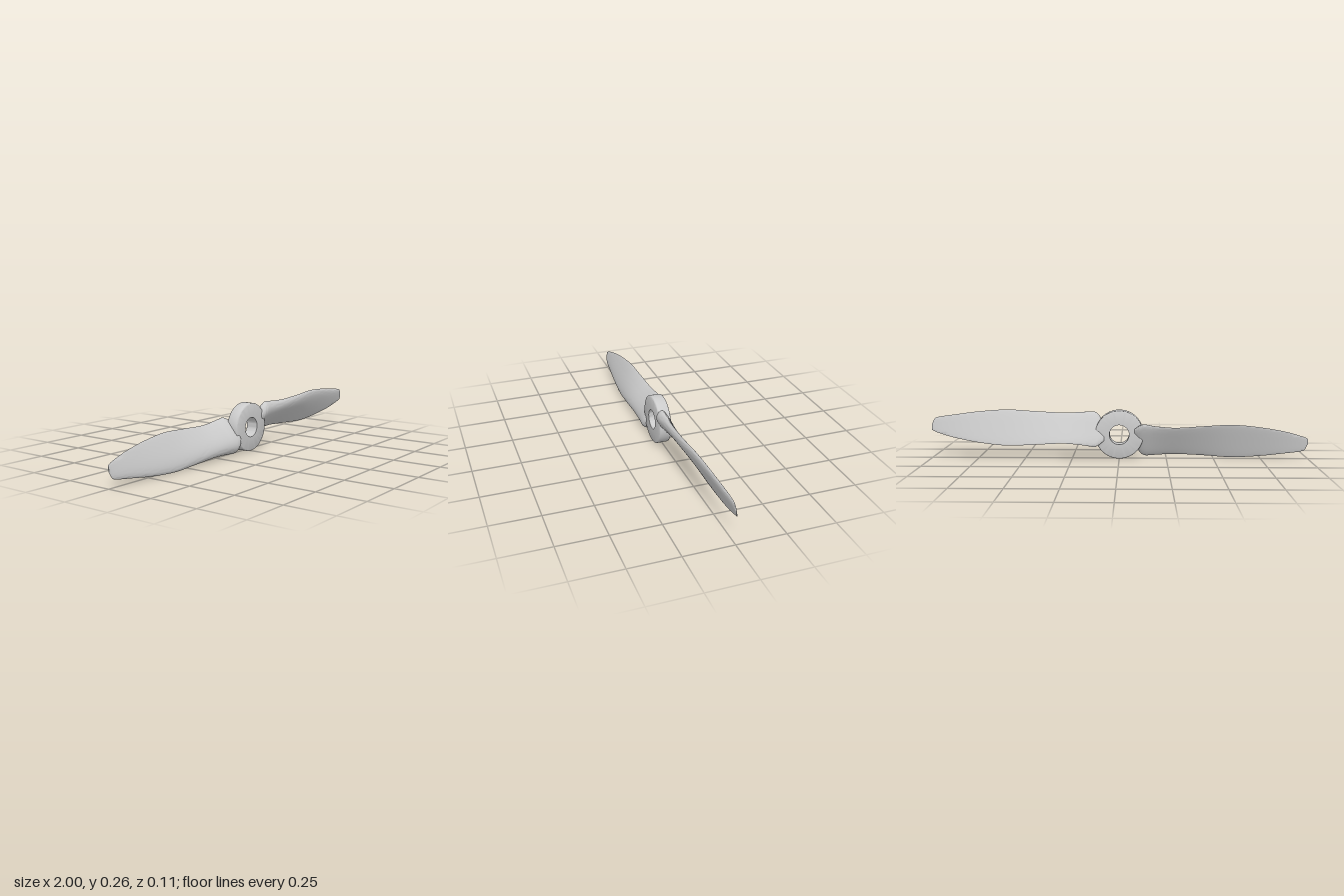
import * as THREE from 'three';
import { toCreasedNormals } from 'three/addons/utils/BufferGeometryUtils.js';

const HUB_Y = 0.128;

// Blade stations, relative to the hub axis:
// x, leading edge y z, trailing edge y z, front camber, edge half-thickness
const STATIONS = [
  [0.08, 0.05, 0.025, -0.03, -0.025, 0.01, 0.008],
  [0.105, 0.095, 0.033, -0.05, -0.042, 0.03, 0.012],
  [0.13, 0.116, 0.034, -0.06, -0.05, 0.038, 0.012],
  [0.16, 0.118, 0.032, -0.056, -0.053, 0.041, 0.01],
  [0.2, 0.115, 0.033, -0.05, -0.054, 0.039, 0.007],
  [0.3, 0.111, 0.036, -0.043, -0.05, 0.032, 0.004],
  [0.45, 0.118, 0.037, -0.051, -0.042, 0.025, 0.003],
  [0.6, 0.127, 0.033, -0.057, -0.034, 0.019, 0.003],
  [0.75, 0.118, 0.024, -0.042, -0.024, 0.014, 0.0025],
  [0.88, 0.102, 0.014, -0.018, -0.013, 0.01, 0.002],
  [0.96, 0.091, 0.009, 0.005, -0.006, 0.006, 0.002],
  [0.985, 0.08, 0.007, 0.014, -0.003, 0.004, 0.0015],
  [1.0, 0.05, 0.003, 0.022, 0, 0.002, 0.001],
];

const curveOf = (a, b) => new THREE.CatmullRomCurve3(
  STATIONS.map(s => new THREE.Vector3(s[0], s[a], s[b])), false, 'catmullrom', 0.5);

// Twisted aerofoil loft running along +x
function bladeGeometry() {
  const lead = curveOf(1, 2), trail = curveOf(3, 4), thick = curveOf(5, 6);
  const rows = 72, half = 24, ring = half * 2;
  const pos = [], index = [];

  for (let i = 0; i <= rows; i++) {
    const u = i / rows;
    const L = lead.getPoint(u), T = trail.getPoint(u), t = thick.getPoint(u);
    const dy = T.y - L.y, dz = T.z - L.z, len = Math.hypot(dy, dz);
    for (let j = 0; j < ring; j++) {
      const front = j <= half;
      const s = (1 - Math.cos(Math.PI * (front ? j : ring - j) / half)) / 2;
      const edge = t.z * Math.pow(Math.max(0, 1 - Math.pow(2 * s - 1, 4)), 0.5);
      const camber = t.y * 2.1 * Math.sqrt(s) * (1 - s) * (1.25 - 0.4 * s);
      const h = front ? camber + edge : -edge;
      pos.push(L.x, L.y + dy * s + (dz / len) * h, L.z + dz * s - (dy / len) * h);
    }
  }
  for (let i = 0; i < rows; i++) {
    for (let j = 0; j < ring; j++) {
      const k = (j + 1) % ring;
      const a = i * ring + j, b = i * ring + k, c = b + ring, d = a + ring;
      index.push(a, b, d, b, c, d);
    }
  }
  // Root and tip caps
  for (const row of [0, rows]) {
    const L = lead.getPoint(row / rows), T = trail.getPoint(row / rows);
    const centre = pos.length / 3, o = row * ring;
    pos.push(L.x, (L.y + T.y) / 2, (L.z + T.z) / 2);
    for (let j = 0; j < ring; j++) {
      const k = (j + 1) % ring;
      if (row) index.push(centre, o + j, o + k);
      else index.push(centre, o + k, o + j);
    }
  }
  const g = new THREE.BufferGeometry();
  g.setAttribute('position', new THREE.Float32BufferAttribute(pos, 3));
  g.setIndex(index);
  return toCreasedNormals(g, Math.PI / 4);
}

// Bored hub ring with small rounded rims
function hubGeometry() {
  const profile = [
    [0.052, -0.022], [0.122, -0.022], [0.1262, -0.0202], [0.128, -0.016],
    [0.128, 0.037], [0.1262, 0.0412], [0.122, 0.043], [0.052, 0.043], [0.052, -0.022],
  ].map(p => new THREE.Vector2(...p));
  const g = new THREE.LatheGeometry(profile, 72).rotateX(Math.PI / 2);
  return toCreasedNormals(g, Math.PI / 3.5);
}

export function createModel() {
  const model = new THREE.Group();
  model.name = 'propeller';
  const material = new THREE.MeshStandardMaterial({ color: 0xcccccc });

  const hub = new THREE.Mesh(hubGeometry(), material);
  hub.name = 'hub';
  hub.position.y = HUB_Y;
  model.add(hub);

  // Two blades, half a turn apart
  const blade = bladeGeometry();
  ['leftBlade', 'rightBlade'].forEach((name, i) => {
    const mesh = new THREE.Mesh(blade, material);
    mesh.name = name;
    mesh.position.y = HUB_Y;
    mesh.rotation.z = i * Math.PI;
    model.add(mesh);
  });
  return model;
}
